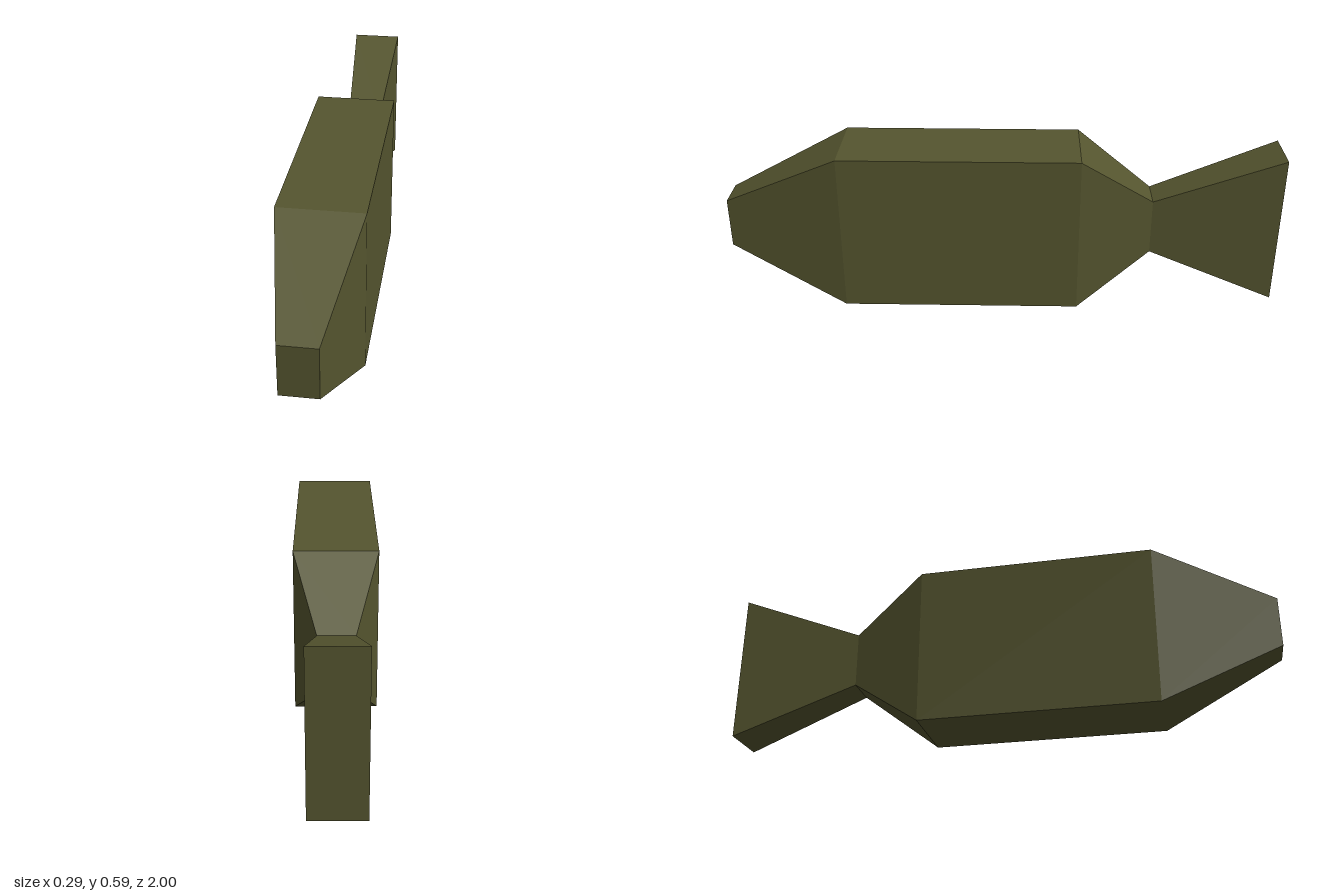
import * as THREE from 'three';

// Rectangular cross-sections, front to back: z, half width, bottom y, top y
const nose = [1, 0.063, 0.205, 0.387];
const shoulder = [0.578, 0.145, 0.002, 0.59];
const hip = [-0.277, 0.145, 0.002, 0.59];
const waist = [-0.543, 0.063, 0.195, 0.4];
const tailEnd = [-1, 0.092, 0.018, 0.577];

// Skins a row of sections with flat faces, closing the chosen ends
function loft(sections, capFront, capBack) {
  const rings = sections.map(([z, w, y0, y1]) => [[-w, y0, z], [w, y0, z], [w, y1, z], [-w, y1, z]]);
  const positions = [];
  const quad = (a, b, c, d) => positions.push(...a, ...b, ...c, ...a, ...c, ...d);
  for (let i = 0; i < rings.length - 1; i++) {
    const a = rings[i], b = rings[i + 1];
    for (let j = 0; j < 4; j++) {
      const k = (j + 1) % 4;
      quad(a[j], b[j], b[k], a[k]);
    }
  }
  if (capFront) quad(...rings[0]);
  if (capBack) quad(...rings[rings.length - 1].slice().reverse());
  const geometry = new THREE.BufferGeometry();
  geometry.setAttribute('position', new THREE.Float32BufferAttribute(positions, 3));
  geometry.computeVertexNormals();
  return geometry;
}

export function createModel() {
  const model = new THREE.Group();
  model.name = 'fish';
  const olive = new THREE.MeshStandardMaterial({ color: 0x55552f, flatShading: true });
  olive.name = 'olive';

  const add = (name, geometry) => {
    const mesh = new THREE.Mesh(geometry, olive);
    mesh.name = name;
    model.add(mesh);
  };

  // Blunt head, slab body and taper to the waist
  add('body', loft([nose, shoulder, hip, waist], true, false));
  // Tail flaring out from the waist
  add('tailFin', loft([waist, tailEnd], false, true));
  return model;
}
